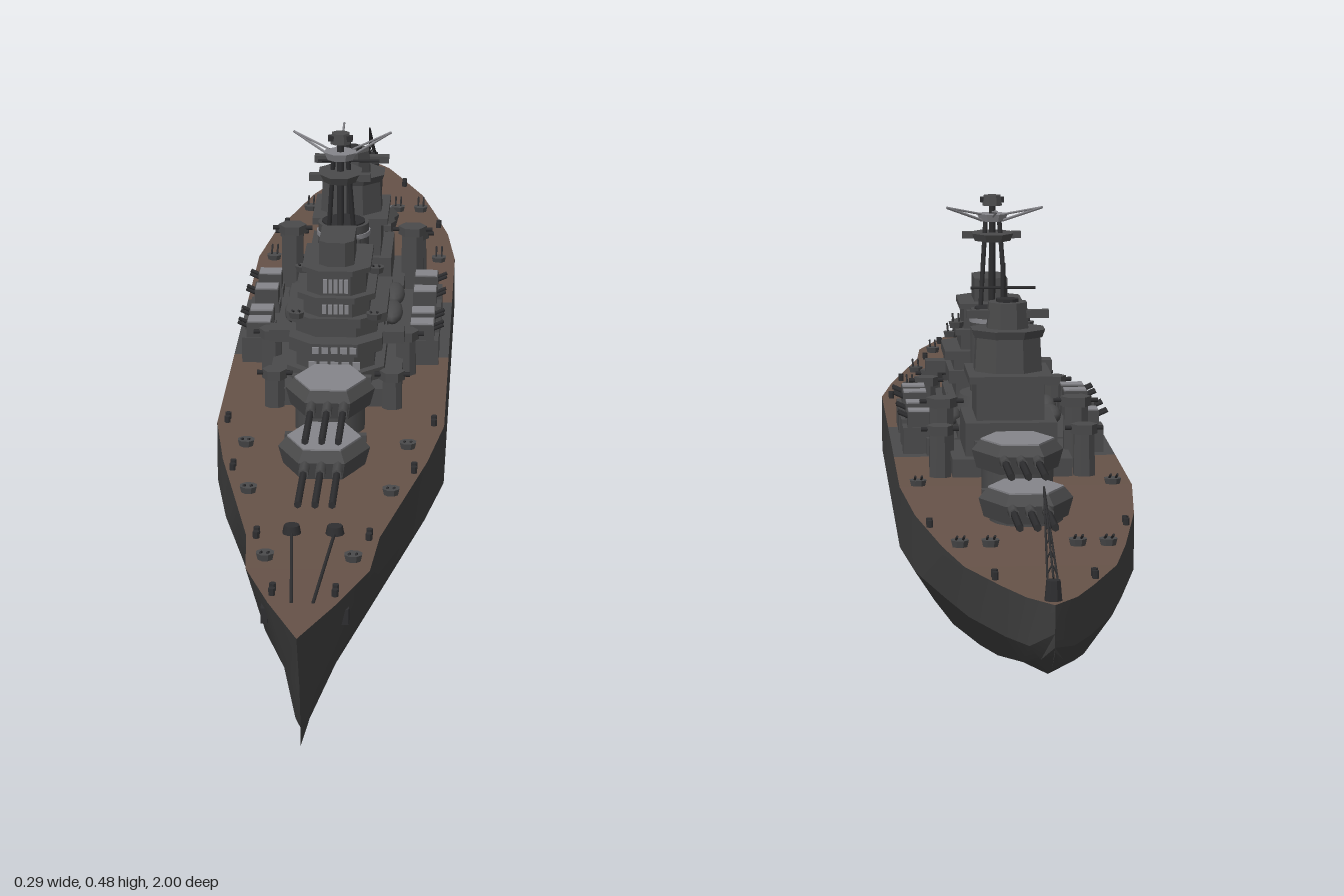
import * as THREE from 'three';
import { toCreasedNormals } from 'three/addons/utils/BufferGeometryUtils.js';

const mat = (name, color, side = THREE.FrontSide) => {
  const m = new THREE.MeshStandardMaterial({ color, side });
  m.name = name;
  return m;
};

export function createModel() {
  const root = new THREE.Group();
  root.name = 'battleship';
  const hullGrey = mat('hull grey', 0x404040);
  const steel = mat('superstructure grey', 0x4a4a4b);
  const dark = mat('dark fittings', 0x2e2e30);
  const light = mat('light grey', 0x85858a);
  const wood = mat('deck brown', 0x665248);
  const SIDES = [-1, 1];

  // Helpers: parts are placed by their base height
  const add = (name, geo, m, x = 0, y = 0, z = 0, parent = root) => {
    const mesh = new THREE.Mesh(geo, m);
    mesh.name = name;
    mesh.position.set(x, y, z);
    parent.add(mesh);
    return mesh;
  };
  const box = (name, m, w, h, d, x, y, z, p) => add(name, new THREE.BoxGeometry(w, h, d), m, x, y + h / 2, z, p);
  const flat = (geo) => { const g = geo.toNonIndexed(); g.computeVertexNormals(); return g; };
  const cyl = (name, m, rt, rb, h, x, y, z, seg = 12, p = root) => {
    const g = new THREE.CylinderGeometry(rt, rb, h, seg, 1, false, Math.PI / seg);
    return add(name, seg <= 8 ? flat(g) : g, m, x, y + h / 2, z, p);
  };
  const rod = (name, m, a, b, r, p = root) => {
    const A = new THREE.Vector3(...a), B = new THREE.Vector3(...b);
    const mesh = add(name, new THREE.CylinderGeometry(r, r, A.distanceTo(B), 6), m, 0, 0, 0, p);
    mesh.position.copy(A).add(B).multiplyScalar(0.5);
    mesh.quaternion.setFromUnitVectors(new THREE.Vector3(0, 1, 0), B.sub(A).normalize());
    return mesh;
  };
  const mesh3 = (pos, idx) => {
    const g = new THREE.BufferGeometry();
    g.setAttribute('position', new THREE.Float32BufferAttribute(pos, 3));
    g.setIndex(idx);
    return g;
  };

  // Hull stations: z, deck half-width, deck y, middle half-width, chine half-width, chine y, keel y
  const stations = [
    [1, 0, 0.168, 0, 0, 0.04, 0.013], [0.9, 0.038, 0.167, 0.02, 0.008, 0.03, 0.013],
    [0.8, 0.07, 0.166, 0.048, 0.018, 0.028, 0.011], [0.7, 0.077, 0.166, 0.066, 0.036, 0.025, 0.008],
    [0.58, 0.1, 0.166, 0.092, 0.058, 0.022, 0.005], [0.45, 0.125, 0.166, 0.122, 0.082, 0.022, 0.003],
    [0.32, 0.143, 0.166, 0.143, 0.1, 0.022, 0.003], [0.05, 0.143, 0.166, 0.143, 0.105, 0.022, 0.003],
    [-0.19, 0.143, 0.166, 0.143, 0.105, 0.022, 0.003], [-0.4, 0.143, 0.165, 0.143, 0.1, 0.022, 0.003],
    [-0.55, 0.13, 0.158, 0.13, 0.085, 0.026, 0.006], [-0.7, 0.105, 0.15, 0.101, 0.062, 0.035, 0.018],
    [-0.8, 0.085, 0.147, 0.08, 0.048, 0.046, 0.032], [-0.9, 0.05, 0.146, 0.046, 0.028, 0.062, 0.048],
    [-0.96, 0.027, 0.146, 0.024, 0.012, 0.078, 0.068], [-1, 0, 0.146, 0, 0, 0.1, 0.095],
  ];
  const hullPos = [], hullIdx = [];
  stations.forEach(([z, w, yd, wm, xc, yc, yk], i) => {
    const zm = i ? z : 0.952, zl = i ? z : 0.937;
    const ym = Math.max(0.09, yc + 0.015);
    hullPos.push(w, yd, z, wm, ym, zm, xc, yc, zl, 0, yk, zl, -xc, yc, zl, -wm, ym, zm, -w, yd, z);
    if (i < stations.length - 1) {
      for (let j = 0; j < 6; j++) {
        const a = i * 7 + j;
        hullIdx.push(a, a + 1, a + 7, a + 1, a + 8, a + 7);
      }
    }
  });
  add('hull', toCreasedNormals(mesh3(hullPos, hullIdx), 0.4), hullGrey);

  // Deck: timber fore and aft, steel amidships
  const deck = (name, m, from, to) => {
    const pos = [], idx = [];
    for (let i = from; i <= to; i++) {
      const [z, w, y] = stations[i];
      const k = (i - from) * 2;
      pos.push(w, y, z, -w, y, z);
      if (i < to) idx.push(k, k + 2, k + 1, k + 1, k + 2, k + 3);
    }
    add(name, flat(mesh3(pos, idx)), m);
  };
  deck('foreDeck', wood, 0, 7);
  deck('midDeck', steel, 7, 8);
  deck('aftDeck', wood, 8, stations.length - 1);

  // Main turrets with triple guns
  const turret = (name, z, y, dir, reach) => {
    const g = new THREE.Group();
    g.name = name;
    g.position.set(0, y, z);
    if (dir < 0) g.rotation.y = Math.PI;
    root.add(g);
    cyl('barbette', steel, 0.044, 0.044, Math.max(y - 0.135, 0.02), 0, 0.14 - y, 0, 16, g);
    cyl('turretBody', steel, 0.056, 0.05, 0.022, 0, 0, 0, 6, g).scale.z = 1.25;
    cyl('turretShoulder', steel, 0.046, 0.056, 0.012, 0, 0.022, 0, 6, g).scale.z = 1.25;
    cyl('turretRoof', light, 0.045, 0.045, 0.003, 0, 0.033, 0, 6, g).scale.z = 1.25;
    box('rangefinder', steel, 0.1, 0.008, 0.012, 0, 0.018, -0.035, g);
    for (const x of [-0.02, 0, 0.02]) {
      rod('gunBarrel', dark, [x, 0.018, 0.04], [x, 0.021, reach], 0.0045, g);
      rod('gunSleeve', steel, [x, 0.018, 0.04], [x, 0.019, 0.09], 0.0065, g);
    }
  };
  turret('forwardTurret', 0.465, 0.168, 1, 0.195);
  turret('forwardRaisedTurret', 0.325, 0.195, 1, 0.195);
  turret('aftRaisedTurret', -0.425, 0.193, -1, 0.19);
  turret('aftTurret', -0.57, 0.16, -1, 0.185);

  // Low deckhouses
  box('midDeckhouse', steel, 0.2, 0.022, 0.24, 0, 0.166, -0.06);
  box('forwardDeckhouse', steel, 0.17, 0.024, 0.2, 0, 0.166, 0.15);
  box('innerDeckhouse', steel, 0.12, 0.04, 0.28, 0, 0.166, -0.04);
  box('aftDeckhouse', steel, 0.15, 0.025, 0.15, 0, 0.163, -0.265);
  cyl('funnelBase', steel, 0.05, 0.058, 0.02, 0, 0.205, -0.03, 20).scale.z = 1.3;

  // Forward tower: stacked eight-sided levels [width, depth, base y, height, z]
  const level = (name, [w, d, y, h, z]) => {
    const c = Math.min(w, d) * 0.25, s = new THREE.Shape();
    [[-w / 2, d / 2 - c], [-w / 2, -d / 2], [w / 2, -d / 2], [w / 2, d / 2 - c], [w / 2 - c, d / 2], [c - w / 2, d / 2]]
      .forEach(([x, v], i) => (i ? s.lineTo(x, -v) : s.moveTo(x, -v)));
    const g = new THREE.ExtrudeGeometry(s, { depth: h, bevelEnabled: false });
    g.rotateX(-Math.PI / 2);
    add(name, g, steel, 0, y, z);
  };
  [
    [0.125, 0.18, 0.17, 0.035, 0.145], [0.1, 0.17, 0.205, 0.02, 0.14], [0.12, 0.18, 0.225, 0.017, 0.14],
    [0.105, 0.14, 0.242, 0.014, 0.13], [0.13, 0.15, 0.256, 0.012, 0.13], [0.085, 0.125, 0.268, 0.022, 0.135],
    [0.1, 0.14, 0.288, 0.008, 0.135], [0.076, 0.115, 0.296, 0.027, 0.137], [0.088, 0.125, 0.323, 0.007, 0.137],
    [0.045, 0.08, 0.33, 0.032, 0.14],
  ].forEach((l) => level('bridgeLevel', l));
  for (const [w, h, y, z] of [[0.07, 0.01, 0.207, 0.226], [0.06, 0.008, 0.23, 0.231], [0.036, 0.012, 0.273, 0.199], [0.034, 0.018, 0.3, 0.196]]) {
    for (let i = 0; i < 5; i++) box('bridgeWindow', light, w / 7, h, 0.004, (i - 2) * w / 5, y, z);
  }
  box('bridgeWing', steel, 0.175, 0.016, 0.03, 0, 0.226, 0.16);

  // Tripod foremast with fire-control tops
  rod('mainMast', dark, [0, 0.25, 0.08], [0, 0.47, 0.07], 0.005);
  for (const s of SIDES) {
    rod('mastLeg', dark, [s * 0.023, 0.24, 0.035], [s * 0.009, 0.45, 0.068], 0.0035);
    rod('yardArm', light, [s * 0.015, 0.446, 0.06], [s * 0.064, 0.467, 0.02], 0.0018);
    rod('yardBrace', light, [s * 0.015, 0.454, 0.06], [s * 0.064, 0.467, 0.02], 0.0015);
  }
  for (const dy of [0, 0.007]) rod('aftSpar', light, [0, 0.45 + dy, 0.06], [0, 0.466, -0.03], 0.0015);
  cyl('lowerTop', steel, 0.03, 0.026, 0.01, 0, 0.418, 0.072, 8).scale.z = 1.4;
  box('topRangefinder', steel, 0.08, 0.009, 0.012, 0, 0.419, 0.085);
  cyl('upperTop', light, 0.022, 0.018, 0.01, 0, 0.444, 0.07, 8);
  cyl('director', steel, 0.012, 0.014, 0.014, 0, 0.465, 0.07, 8);
  box('directorSight', dark, 0.032, 0.007, 0.009, 0, 0.469, 0.074);

  // Funnel and pole mast
  cyl('funnel', steel, 0.034, 0.035, 0.125, 0, 0.21, -0.012, 20);
  cyl('funnelBand', light, 0.036, 0.036, 0.006, 0, 0.318, -0.012, 20);
  cyl('funnelMouth', dark, 0.029, 0.029, 0.003, 0, 0.334, -0.012, 20);
  for (const s of SIDES) rod('steamPipe', steel, [s * 0.02, 0.21, 0.024], [s * 0.02, 0.32, 0.022], 0.005);
  rod('poleMast', dark, [0, 0.2, -0.153], [0, 0.412, -0.153], 0.0035);
  rod('poleYard', dark, [-0.042, 0.38, -0.153], [0.042, 0.38, -0.153], 0.002);

  // Aft tower
  box('aftTowerBase', steel, 0.115, 0.06, 0.13, 0, 0.17, -0.255);
  box('aftTowerLower', steel, 0.085, 0.06, 0.1, 0, 0.225, -0.25);
  box('aftTowerPlatform', steel, 0.105, 0.009, 0.125, 0, 0.278, -0.25);
  cyl('aftTowerUpper', steel, 0.043, 0.046, 0.05, 0, 0.285, -0.245, 8);
  cyl('aftTowerTop', steel, 0.05, 0.046, 0.01, 0, 0.33, -0.245, 8);
  cyl('aftDirector', steel, 0.026, 0.028, 0.033, 0, 0.34, -0.24, 8);
  cyl('aftDirectorCap', dark, 0.015, 0.015, 0.005, 0, 0.372, -0.24, 8);
  box('aftRangefinder', steel, 0.104, 0.01, 0.014, 0, 0.353, -0.245);

  // Small anti-aircraft mount: tub, shield and twin tubes
  const lightGun = (x, y, z, dir) => {
    const g = new THREE.Group();
    g.name = 'lightGun';
    g.position.set(x, y, z);
    root.add(g);
    cyl('gunTub', steel, 0.011, 0.009, 0.008, 0, 0, 0, 8, g);
    for (const s of SIDES) rod('tube', dark, [s * 0.004, 0.008, 0], [s * 0.004, 0.016, dir * 0.022], 0.0015, g);
  };

  for (const s of SIDES) {
    // Secondary gun houses along the waist
    for (const z of [-0.15, -0.08, 0.015, 0.065]) {
      box('gunPedestal', steel, 0.04, 0.034, 0.035, s * 0.11, 0.166, z);
      box('gunHouse', steel, 0.032, 0.02, 0.032, s * 0.108, 0.2, z);
      box('gunHouseRoof', light, 0.03, 0.003, 0.026, s * 0.108, 0.219, z);
      for (const d of [-0.008, 0.008]) rod('secondaryBarrel', dark, [s * 0.118, 0.211, z + d], [s * 0.136, 0.219, z + d], 0.0025);
    }
    // Directors and side towers
    for (const [x, z, h, r] of [[0.09, -0.33, 0.055, 0.017], [0.085, -0.265, 0.08, 0.02], [0.075, 0.25, 0.04, 0.016], [0.088, 0.115, 0.05, 0.017]]) {
      cyl('directorColumn', steel, r * 0.8, r * 0.85, h, s * x, 0.163, z, 8);
      cyl('directorHead', steel, r, r, 0.012, s * x, 0.163 + h, z, 6);
      rod('directorArm', dark, [s * (x - r * 1.4), 0.17 + h, z], [s * (x + r * 1.4), 0.17 + h, z], 0.003);
    }
    // Ship's boats beside the funnel
    for (const z of [-0.1, -0.02]) {
      const boat = add('boat', new THREE.SphereGeometry(1, 12, 8), steel, s * 0.066, 0.206, z);
      boat.scale.set(0.014, 0.012, 0.04);
    }
    // Deck guns, bollards, chains and anchors
    for (const [x, z, y, d] of [[0.085, 0.56, 0.166, 1], [0.1, 0.4, 0.166, 1], [0.05, 0.77, 0.166, 1],
      [0.12, -0.39, 0.164, -1], [0.085, -0.7, 0.15, -1], [0.05, -0.7, 0.15, -1], [0.05, 0.2, 0.268, 1], [0.048, 0.09, 0.296, 1]]) {
      lightGun(s * x, y, z, d);
    }
    for (const [x, z, y] of [[0.035, 0.87, 0.166], [0.065, 0.7, 0.165], [0.11, 0.48, 0.165], [0.13, 0.31, 0.165], [0.115, -0.6, 0.154], [0.055, -0.86, 0.146]]) {
      for (const d of [-0.007, 0.007]) cyl('bollard', dark, 0.004, 0.004, 0.009, s * x, y, z + d, 8);
    }
    rod('anchorChain', dark, [s * 0.012, 0.168, 0.9], [s * 0.025, 0.168, 0.69], 0.002);
    cyl('capstan', dark, 0.009, 0.011, 0.01, s * 0.025, 0.166, 0.69, 10);
    box('anchor', dark, 0.008, 0.018, 0.02, s * 0.045, 0.125, 0.85);
  }

  // Lattice crane at the stern
  cyl('cranePost', dark, 0.008, 0.01, 0.022, 0, 0.146, -0.975, 8);
  const foot = [0, 0.158, -0.975], tip = [0, 0.244, -0.842];
  for (const s of SIDES) rod('craneBoom', dark, [s * 0.006, foot[1], foot[2]], tip, 0.0013);
  rod('craneTopChord', dark, [0, foot[1] + 0.012, foot[2]], tip, 0.0013);
  for (let i = 1; i < 7; i++) {
    const t = i / 7, w = 0.006 * (1 - t);
    const y = foot[1] + (tip[1] - foot[1]) * t, z = foot[2] + (tip[2] - foot[2]) * t;
    for (const s of SIDES) rod('craneLattice', dark, [s * w, y, z], [0, y + 0.012 * (1 - t), z], 0.001);
  }
  return root;
}
